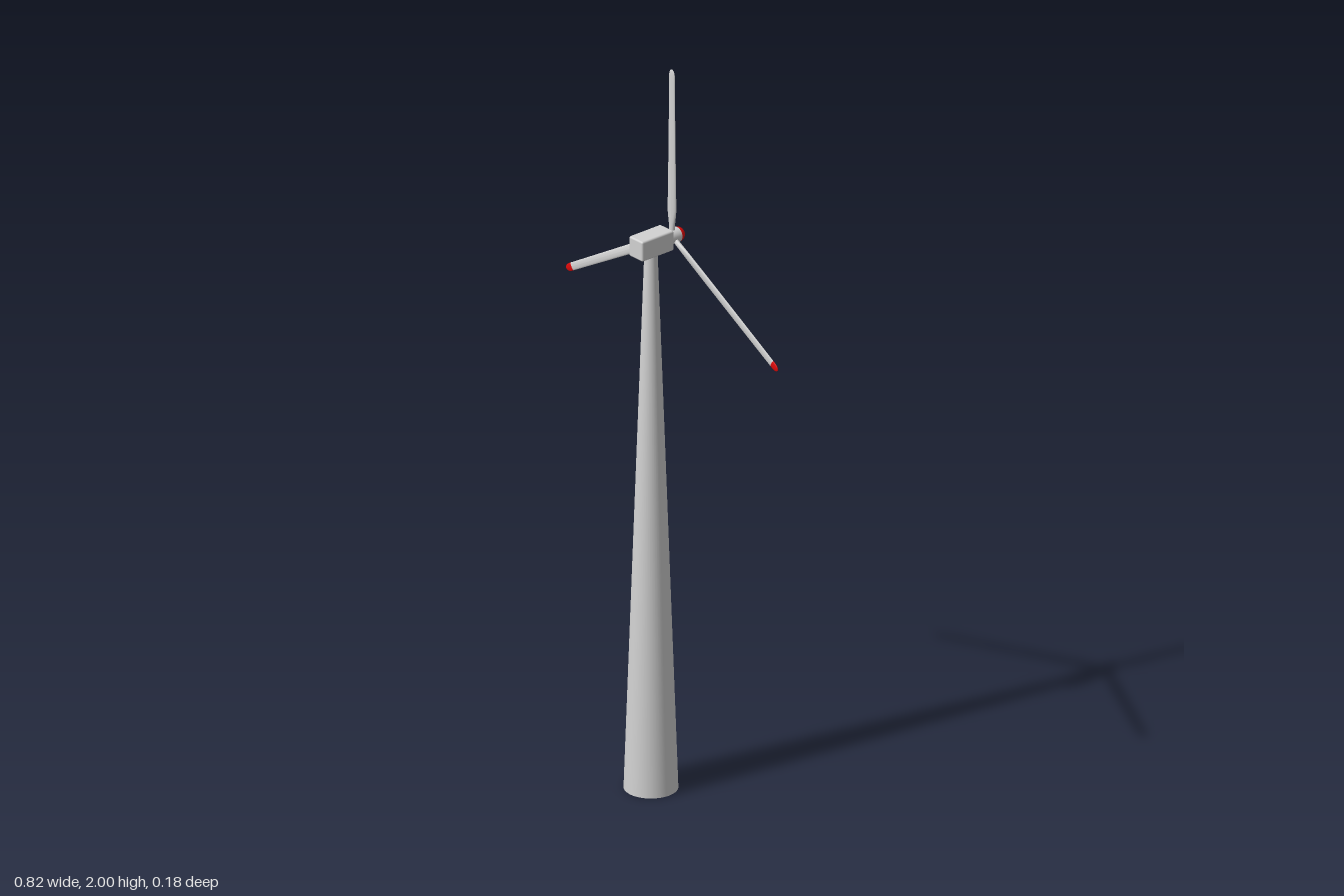
import * as THREE from 'three';
import { RoundedBoxGeometry } from 'three/addons/geometries/RoundedBoxGeometry.js';

const paint = new THREE.MeshStandardMaterial({ color: 0xd2d2d2 });
paint.name = 'light grey';
const red = new THREE.MeshStandardMaterial({ color: 0xdc0a0a });
red.name = 'signal red';

const AXIS_X = -0.002, AXIS_Y = 1.53, BLADE_Z = -0.054;
const LENGTH = 0.47, TIP_START = 0.444;

// Blade stations: radius, half width, half thickness, twist
const STATIONS = [
  [0.0, 0.007, 0.007, 0],
  [0.03, 0.008, 0.0065, 0.2],
  [0.07, 0.0135, 0.005, 0.25],
  [0.15, 0.013, 0.004, 0.15],
  [0.3, 0.0118, 0.003, 0.06],
  [LENGTH, 0.0105, 0.0025, 0],
];

function station(r) {
  let i = 0;
  while (i < STATIONS.length - 2 && r > STATIONS[i + 1][0]) i++;
  const a = STATIONS[i], b = STATIONS[i + 1];
  const t = (r - a[0]) / (b[0] - a[0]);
  return a.map((v, k) => THREE.MathUtils.lerp(v, b[k], t));
}

// Slice of a blade between two radii, shaped from a unit tube
function bladeSlice(r0, r1, rows) {
  const geo = new THREE.CylinderGeometry(1, 1, r1 - r0, 16, rows, true);
  geo.translate(0, (r0 + r1) / 2, 0);
  const pos = geo.attributes.position;
  for (let i = 0; i < pos.count; i++) {
    const r = pos.getY(i);
    const [, w, d, twist] = station(r);
    const u = Math.min(1, Math.max(0, (r - 0.452) / (LENGTH - 0.452)));
    const round = Math.sqrt(Math.max(0.001, 1 - u * u));
    const x = pos.getX(i) * w * round, z = pos.getZ(i) * d * round;
    pos.setXYZ(i, x * Math.cos(twist) + z * Math.sin(twist), r, z * Math.cos(twist) - x * Math.sin(twist));
  }
  geo.computeVertexNormals();
  return geo;
}

function add(parent, name, geo, material, x = 0, y = 0, z = 0) {
  const mesh = new THREE.Mesh(geo, material);
  mesh.name = name;
  mesh.position.set(x, y, z);
  parent.add(mesh);
  return mesh;
}

export function createModel() {
  const model = new THREE.Group();
  model.name = 'windTurbine';

  // Tapered tower
  add(model, 'tower', new THREE.CylinderGeometry(0.017, 0.07, 1.51, 48), paint, AXIS_X, 0.755, 0.0175);

  // Machine housing on top of the tower
  add(model, 'nacelle', new RoundedBoxGeometry(0.053, 0.056, 0.108, 2, 0.005), paint, AXIS_X, 1.532, 0.016);

  // Rotor: hub, nose cone and three blades, facing -z
  const rotor = new THREE.Group();
  rotor.name = 'rotor';
  rotor.position.set(AXIS_X, AXIS_Y, BLADE_Z);
  model.add(rotor);

  const hub = new THREE.CylinderGeometry(0.02, 0.02, 0.036, 32).rotateX(Math.PI / 2);
  add(rotor, 'hub', hub, paint);
  const dome = new THREE.SphereGeometry(0.02, 32, 12, 0, Math.PI * 2, 0, Math.PI / 2).rotateX(-Math.PI / 2);
  add(rotor, 'noseCone', dome, red, 0, 0, -0.0175);

  const bladeGeo = bladeSlice(0, TIP_START, 24);
  const tipGeo = bladeSlice(TIP_START, LENGTH, 10);
  for (let i = 0; i < 3; i++) {
    const blade = new THREE.Group();
    blade.name = 'blade' + (i + 1);
    blade.rotation.z = (i * Math.PI * 2) / 3;
    add(blade, 'bladeBody', bladeGeo, paint);
    // Only the two lower blades carry red tips
    add(blade, 'bladeTip', tipGeo, i === 0 ? paint : red);
    rotor.add(blade);
  }
  return model;
}
